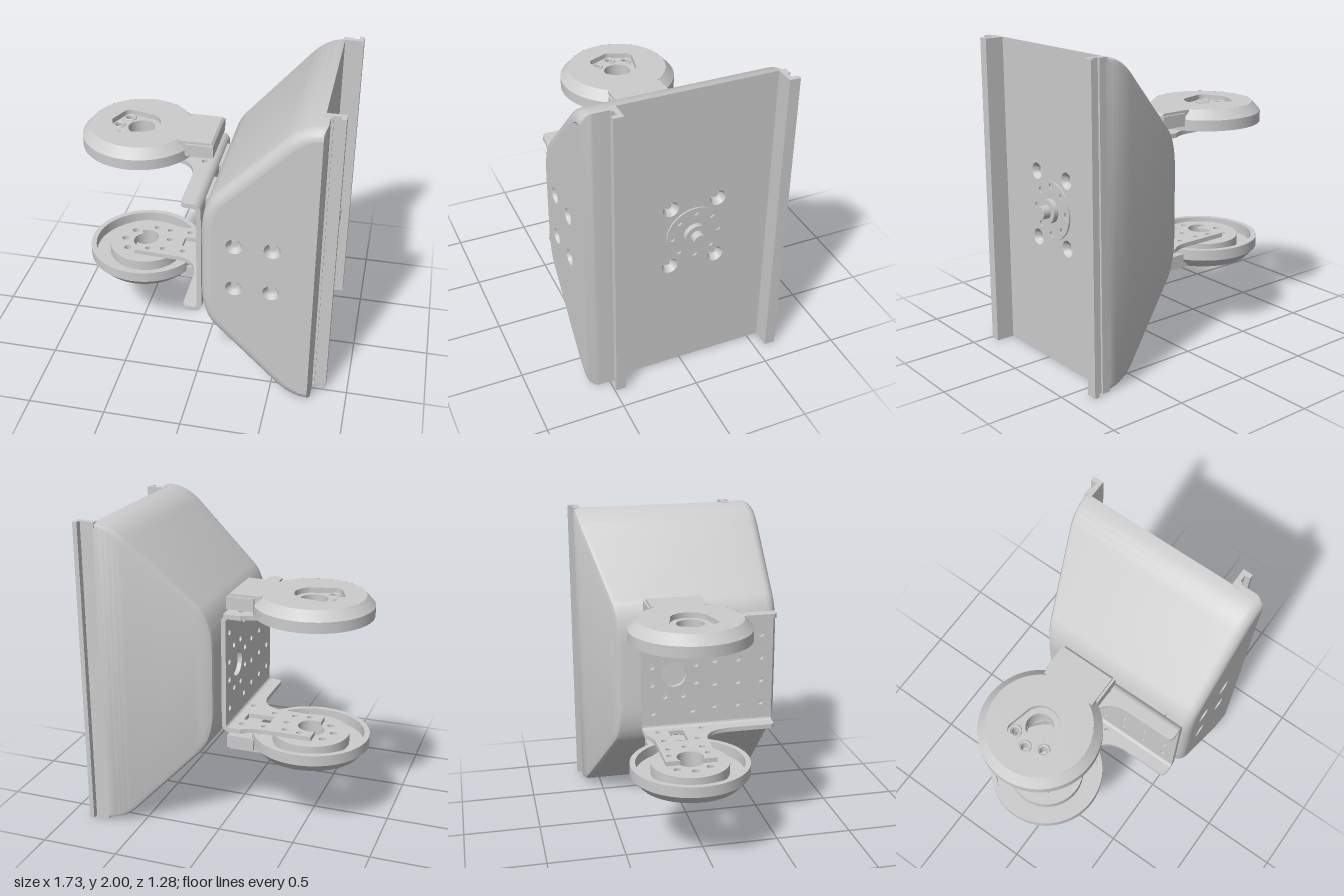
import * as THREE from 'three';
import { toCreasedNormals } from 'three/addons/utils/BufferGeometryUtils.js';
import { ConvexGeometry } from 'three/addons/geometries/ConvexGeometry.js';

const material = new THREE.MeshStandardMaterial({ color: 0xcccccc, side: THREE.DoubleSide });
const MID_Z = -0.075; // shared axis of hub, wheels and bracket

function add(parent, name, geometry, x = 0, y = 0, z = 0) {
  const mesh = new THREE.Mesh(geometry, material);
  mesh.name = name;
  mesh.position.set(x, y, z);
  parent.add(mesh);
  return mesh;
}
const crease = (geo, angle = 0.5) => toCreasedNormals(geo, angle);
const circle = (x, y, r) => new THREE.Path().absarc(x, y, r, 0, Math.PI * 2);
const polygon = pts => new THREE.Shape(pts.map(p => new THREE.Vector2(p[0], p[1])));
const extrude = (shape, depth) =>
  new THREE.ExtrudeGeometry(shape, { depth, bevelEnabled: false, curveSegments: 20 });
// Prism standing on y0, drawn in (x, -z)
const slab = (shape, y0, y1) => crease(extrude(shape, y1 - y0).rotateX(-Math.PI / 2).translate(0, y0, 0));

// Side outline of the housing, rounded trapezoid
function housingProfile() {
  const s = new THREE.Shape();
  s.moveTo(0.77, 2).quadraticCurveTo(0.64, 2, 0.54, 1.9).lineTo(0.14, 1.49);
  s.quadraticCurveTo(0.055, 1.4, 0.055, 1.2).lineTo(0.055, 0.8);
  s.quadraticCurveTo(0.055, 0.6, 0.14, 0.51).lineTo(0.54, 0.1).quadraticCurveTo(0.64, 0, 0.77, 0);
  return s.getPoints(12);
}

// Moves every corner of a counter-clockwise outline inwards by d
function inset(pts, d) {
  return pts.map((p, i) => {
    const a = pts[(i + pts.length - 1) % pts.length], b = pts[(i + 1) % pts.length];
    const u = p.clone().sub(a).normalize(), v = b.clone().sub(p).normalize();
    const n1 = new THREE.Vector2(-u.y, u.x), n2 = new THREE.Vector2(-v.y, v.x);
    const k = d / (1 + n1.dot(n2));
    return p.clone().add(n1.add(n2).multiplyScalar(k));
  });
}

// Removes the flat face of a hull lying on one plane
function openFace(geo, axis, value) {
  const src = geo.attributes.position.array, kept = [];
  for (let i = 0; i < src.length; i += 9) {
    const flat = [0, 3, 6].every(k => Math.abs(src[i + k + axis] - value) < 1e-4);
    if (!flat) kept.push(...src.slice(i, i + 9));
  }
  const out = new THREE.BufferGeometry();
  out.setAttribute('position', new THREE.Float32BufferAttribute(kept, 3));
  return crease(out);
}

// Countersunk hole with a screw, opening towards +y
function countersink(parent, x, y, z, axis) {
  const g = new THREE.Group();
  g.name = 'screwHole';
  const pts = [[0, -0.07], [0.032, -0.07], [0.032, -0.035], [0.052, 0]].map(p => new THREE.Vector2(...p));
  add(g, 'countersink', crease(new THREE.LatheGeometry(pts, 24)));
  add(g, 'screw', new THREE.CylinderGeometry(0.022, 0.022, 0.03, 16), 0, -0.055, 0);
  g.position.set(x, y, z);
  if (axis === 'x') g.rotation.z = -Math.PI / 2;
  else g.rotation.x = Math.PI / 2;
  parent.add(g);
}

function buildHousing() {
  const g = new THREE.Group();
  g.name = 'housing';
  const profile = housingProfile();

  // Main body, back wall slanting forward towards -x
  const backZ = x => {
    const t = THREE.MathUtils.clamp((x - 0.5) / 0.2, 0, 1);
    return x < 0.5 ? -0.435 - (x - 0.055) * 0.335 : -0.584 - 0.036 * (1 - (1 - t) ** 2);
  };
  const body = [];
  profile.forEach(p => body.push(new THREE.Vector3(Math.min(p.x, 0.74), p.y, 0.44)));
  for (const [d, dz] of [[0, 0.03], [0.009, 0.009], [0.03, 0]]) {
    inset(profile, d).forEach((p, i) => {
      const x = profile[i].x >= 0.74 ? 0.74 : Math.min(p.x, 0.74);
      body.push(new THREE.Vector3(x, p.y, backZ(x) + dz));
    });
  }
  add(g, 'body', openFace(new ConvexGeometry(body), 0, 0.74));

  // Front part with a rounded rim
  const front = profile.map(p => new THREE.Vector3(p.x, p.y, 0.44));
  const R = 0.07;
  for (let i = 0; i <= 6; i++) {
    const a = i / 6 * Math.PI / 2;
    inset(profile, R * (1 - Math.cos(a))).forEach(p =>
      front.push(new THREE.Vector3(p.x, p.y, 0.57 + R * Math.sin(a))));
  }
  add(g, 'frontRim', openFace(new ConvexGeometry(front), 2, 0.64));

  // Front panel and its screw holes
  const panel = new THREE.Shape(inset(profile, R));
  for (const x of [0.265, 0.495]) for (const y of [0.85, 1.16]) {
    panel.holes.push(circle(x, y, 0.052));
    countersink(g, x, y, 0.64, 'z');
  }
  add(g, 'frontPanel', new THREE.ShapeGeometry(panel, 12), 0, 0, 0.64);

  // Mounting panel on the +x side
  const side = polygon([[-0.44, 0], [0.61, 0], [0.61, 2], [-0.44, 2]]);
  for (const z of [0.083, -0.225]) for (const y of [0.79, 1.215]) {
    side.holes.push(circle(-z, y, 0.052));
    countersink(g, 0.74, y, z, 'x');
  }
  add(g, 'sidePanel', new THREE.ShapeGeometry(side, 12).rotateY(Math.PI / 2), 0.74);

  // Hooked rails along both long edges, as [x, -z]
  add(g, 'frontRail', slab(polygon([[0.73, -0.425], [0.86, -0.425], [0.86, -0.49], [0.83, -0.49],
    [0.83, -0.455], [0.785, -0.455], [0.785, -0.47], [0.73, -0.47]]), 0, 2));
  add(g, 'backRail', slab(polygon([[0.73, 0.575], [0.86, 0.575], [0.86, 0.645], [0.83, 0.645],
    [0.83, 0.605], [0.785, 0.605], [0.785, 0.62], [0.73, 0.62]]), 0, 2));

  // Pads behind the bracket
  add(g, 'pad', new THREE.BoxGeometry(0.035, 0.74, 0.28), 0.0735, 1, -0.06);
  add(g, 'pad', new THREE.BoxGeometry(0.035, 0.74, 0.25), 0.0735, 1, 0.345);
  return g;
}

function buildHub() {
  const g = new THREE.Group();
  g.name = 'hub';
  const disc = new THREE.Shape().absarc(0, 0, 0.185, 0, Math.PI * 2);
  for (let i = 0; i < 8; i++) {
    const a = i * Math.PI / 4;
    disc.holes.push(circle(0.152 * Math.cos(a), 0.152 * Math.sin(a), 0.019));
  }
  add(g, 'disc', slab(disc, 0, 0.012));
  add(g, 'collar', new THREE.CylinderGeometry(0.075, 0.075, 0.045, 32), 0, 0.022);
  add(g, 'shaft', new THREE.CylinderGeometry(0.042, 0.042, 0.095, 32), 0, 0.047);
  g.rotation.z = -Math.PI / 2;
  g.position.set(0.738, 1, MID_Z);
  return g;
}

function buildBracket() {
  const g = new THREE.Group();
  g.name = 'bracket';

  // Upright web with a bearing hole and a pattern of small holes
  const web = polygon([[-0.6, 0.65], [0.29, 0.65], [0.29, 1.35], [-0.6, 1.35]]);
  web.holes.push(circle(-MID_Z, 1, 0.085));
  for (let i = 0; i < 8; i++) {
    const a = (i + 0.5) * Math.PI / 4;
    web.holes.push(circle(-MID_Z + 0.16 * Math.cos(a), 1 + 0.16 * Math.sin(a), 0.02));
  }
  for (const u of [-0.2, -0.36, -0.52]) for (const y of [0.76, 0.92, 1.08, 1.24]) web.holes.push(circle(u, y, 0.02));
  for (const y of [0.74, 1.26]) for (const u of [0.22, -0.05]) web.holes.push(circle(u, y, 0.02));
  add(g, 'web', crease(extrude(web, 0.03).rotateY(Math.PI / 2)), 0.025);

  // Flange drawn in (x, -z), necked down to a notched arm
  const f = new THREE.Shape();
  const a = Math.acos(-0.045 / 0.085);
  f.moveTo(0.005, 0.29).lineTo(-0.07, 0.29).quadraticCurveTo(-0.12, 0.25, -0.2, 0.245);
  f.lineTo(-0.53, 0.245).lineTo(-0.53, 0.152).absarc(-0.485, 0.08, 0.085, a, -a, true);
  f.lineTo(-0.53, -0.085).lineTo(-0.2, -0.1).quadraticCurveTo(-0.07, -0.13, -0.07, -0.3);
  f.lineTo(-0.07, -0.56).quadraticCurveTo(-0.07, -0.6, -0.03, -0.6).lineTo(0.005, -0.6);
  f.holes.push(new THREE.Path([[-0.22, 0.03], [-0.04, 0.03], [-0.04, 0.13], [-0.22, 0.13]]
    .map(p => new THREE.Vector2(...p))));
  for (const [x, v] of [[-0.32, 0.08], [-0.34, 0.19], [-0.34, -0.03], [-0.44, 0.205], [-0.44, -0.045],
    [-0.2, 0.19], [-0.2, -0.03], [-0.05, 0.2], [-0.03, -0.1]]) f.holes.push(circle(x, v, 0.018));
  for (const y of [0.6, 1.37]) add(g, 'flange', slab(f, y, y + 0.03));

  // Rounded bends joining web and flanges
  for (const [y, a0] of [[1.35, 0], [0.65, -Math.PI / 2]]) {
    const bend = new THREE.Shape();
    bend.absarc(0, 0, 0.05, a0, a0 + Math.PI / 2).absarc(0, 0, 0.02, a0 + Math.PI / 2, a0, true);
    add(g, 'bend', crease(extrude(bend, 0.89)), 0.005, y, -0.29);
  }
  return g;
}

// One wheel cover, cup opening towards the middle of the model
function buildWheel() {
  const g = new THREE.Group();
  g.name = 'wheel';
  const cx = -0.485;
  const small = [[-0.59, 0.105], [-0.635, 0], [-0.59, -0.105]];

  const rim = [[0.2, 0.47], [0.345, 0.47], [0.345, 0.4], [0.38, 0.4], [0.38, 0.47], [0.325, 0.53]];
  add(g, 'rim', crease(new THREE.LatheGeometry(rim.map(p => new THREE.Vector2(...p)), 64)), cx);

  const core = new THREE.Shape().absarc(cx, 0, 0.25, 0, Math.PI * 2);
  core.holes.push(circle(cx, 0, 0.087), ...small.map(([x, z]) => circle(x, z, 0.023)));
  add(g, 'core', slab(core, 0.4, 0.495));

  // Outer face with a rounded triangular pocket
  const face = new THREE.Shape().absarc(cx, 0, 0.325, 0, Math.PI * 2);
  const pocket = new THREE.Path().absarc(cx, 0, 0.125, -1.13, 1.13);
  [[1.13, 2.7], [2.7, 3.58], [3.58, 5.15]].forEach(([a, b], i) => pocket.absarc(...small[i], 0.045, a, b));
  face.holes.push(pocket);
  add(g, 'face', slab(face, 0.495, 0.53));
  for (const [x, z] of small)
    add(g, 'bush', new THREE.TorusGeometry(0.034, 0.008, 8, 24).rotateX(Math.PI / 2), x, 0.495, z);

  // Neck reaching towards the housing
  const neck = polygon([[-0.2, 0.53], [-0.2, 0.48], [-0.14, 0.48], [-0.14, 0.43],
    [0.025, 0.43], [0.025, 0.515], [0.01, 0.53]]);
  add(g, 'neck', crease(extrude(neck, 0.36)), 0, 0, -0.18);
  for (const s of [-1, 1])
    add(g, 'neckEdge', new THREE.BoxGeometry(0.18, 0.083, 0.02), -0.065, 0.4725, s * 0.185);
  return g;
}

export function createModel() {
  const model = new THREE.Group();
  model.name = 'bracketedHousing';
  model.add(buildHousing(), buildHub(), buildBracket());
  for (const turn of [0, Math.PI]) {
    const wheel = buildWheel();
    wheel.position.set(0, 1, -0.08);
    wheel.rotation.x = turn;
    model.add(wheel);
  }
  return model;
}
